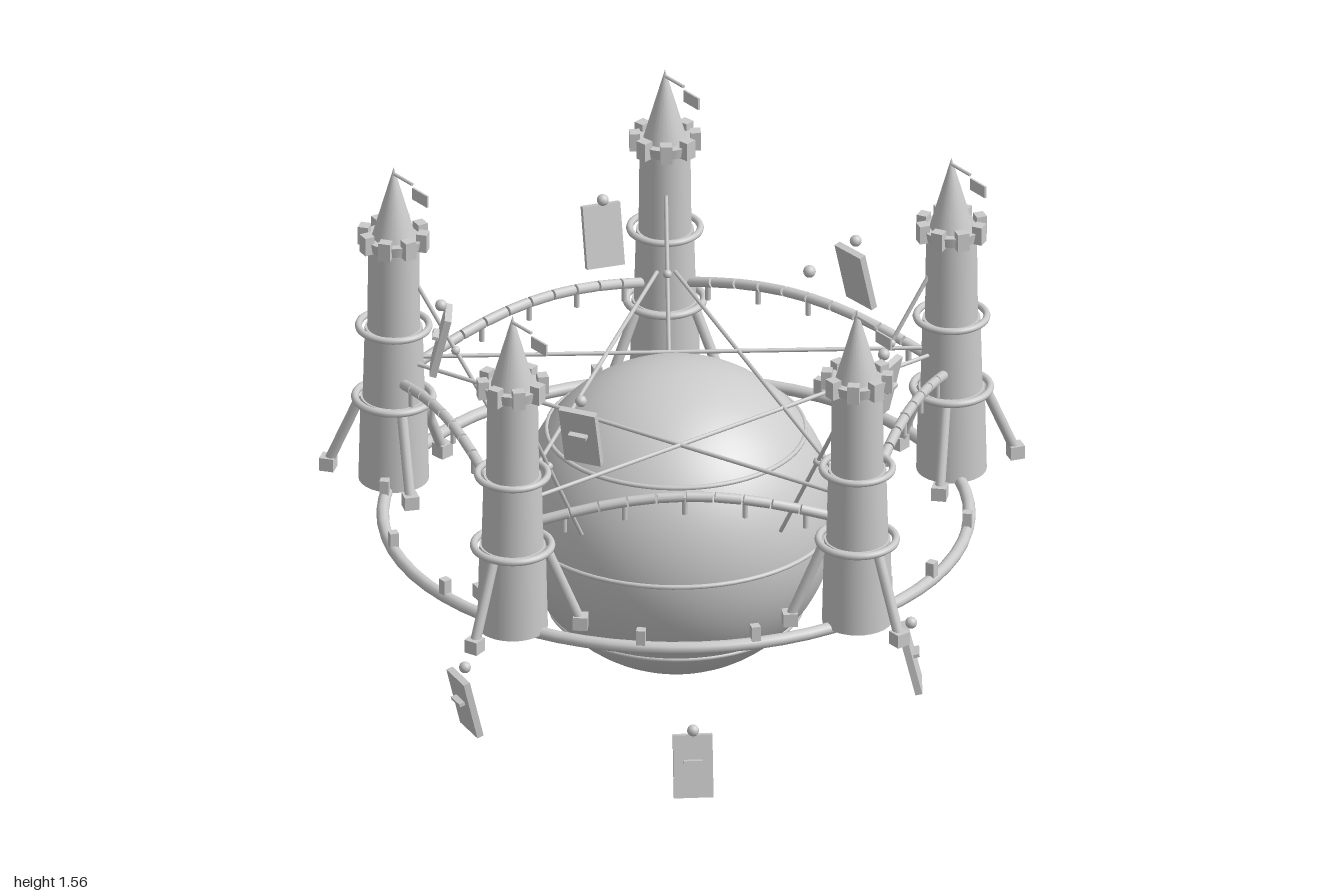
import * as THREE from 'three';

const mat = new THREE.MeshStandardMaterial({ color: 0xcccccc });
const CX = -0.1, R = 0.83, MID = 0.58;
const V = (x, y, z) => new THREE.Vector3(x, y, z);
const polar = (r, a, y) => V(CX + r * Math.cos(a), y, r * Math.sin(a));

function add(parent, name, geo, x = 0, y = 0, z = 0) {
  const m = new THREE.Mesh(geo, mat);
  m.name = name;
  m.position.set(x, y, z);
  parent.add(m);
  return m;
}

// Straight round bar between two points
function rod(parent, name, a, b, r0, r1 = r0, sides = 10) {
  const d = b.clone().sub(a);
  const m = add(parent, name, new THREE.CylinderGeometry(r1, r0, d.length(), sides));
  m.position.copy(a).add(b).multiplyScalar(0.5);
  m.quaternion.setFromUnitVectors(V(0, 1, 0), d.normalize());
  return m;
}

// Horizontal ring
function hoop(parent, name, r, tube, x, y, z) {
  const m = add(parent, name, new THREE.TorusGeometry(r, tube, 10, 64), x, y, z);
  m.rotation.x = Math.PI / 2;
}

function makeTower(angle) {
  const t = new THREE.Group();
  t.name = 'tower';
  t.position.copy(polar(R, angle, 0));

  // Three stepped drums and the collars between them
  const drums = [[0.58, 0.84, 0.1, 0.094], [0.84, 1.06, 0.088, 0.082], [1.06, 1.32, 0.075, 0.072]];
  for (const [y0, y1, r0, r1] of drums)
    add(t, 'towerDrum', new THREE.CylinderGeometry(r1, r0, y1 - y0, 28), 0, (y0 + y1) / 2, 0);
  hoop(t, 'lowerCollar', 0.11, 0.011, 0, 0.837, 0);
  hoop(t, 'upperCollar', 0.1, 0.01, 0, 1.063, 0);

  // Crown with battlements, and the roof
  add(t, 'crown', new THREE.CylinderGeometry(0.085, 0.08, 0.03, 28), 0, 1.333, 0);
  for (let i = 0; i < 8; i++) {
    const a = angle + i * Math.PI / 4;
    const b = add(t, 'battlement', new THREE.BoxGeometry(0.03, 0.055, 0.034),
      0.086 * Math.cos(a), 1.342, 0.086 * Math.sin(a));
    b.rotation.y = -a;
  }
  add(t, 'roof', new THREE.ConeGeometry(0.064, 0.225, 24), 0, 1.453, 0);

  // Flag
  rod(t, 'flagPole', V(0, 1.545, 0), V(0.085, 1.545, 0), 0.005);
  add(t, 'flag', new THREE.BoxGeometry(0.068, 0.036, 0.006), 0.122, 1.518, 0);

  // Splayed legs with block feet
  for (let i = 0; i < 3; i++) {
    const a = angle + i * Math.PI * 2 / 3, c = Math.cos(a), s = Math.sin(a);
    rod(t, 'leg', V(0.095 * c, 0.83, 0.095 * s), V(0.193 * c, 0.6, 0.193 * s), 0.015, 0.015);
    const f = add(t, 'foot', new THREE.BoxGeometry(0.042, 0.04, 0.042), 0.193 * c, 0.6, 0.193 * s);
    f.rotation.y = -a;
  }
  return t;
}

// Segmented arched bridge with short hanging posts
function makeBridge(a0, a1) {
  const g = new THREE.Group();
  g.name = 'bridge';
  const p0 = polar(R, a0, 0), p1 = polar(R, a1, 0);
  const at = t => {
    const p = p0.clone().lerp(p1, t);
    p.y = 0.89 + 0.09 * Math.sin(Math.PI * t);
    return p;
  };
  const n = 12;
  for (let i = 1; i < n - 1; i++)
    rod(g, 'bridgeSegment', at((i + 0.04) / n), at((i + 0.96) / n), 0.015);
  for (const t of [0.15, 0.325, 0.5, 0.675, 0.85]) {
    const p = at(t);
    rod(g, 'bridgePost', p, p.clone().setY(p.y - 0.055), 0.008);
  }
  return g;
}

// Floating tablet facing outward, with a ledge and a bead above
function makeTablet(deg, y, pitch) {
  const g = new THREE.Group();
  g.name = 'tablet';
  const a = deg * Math.PI / 180;
  g.position.copy(polar(0.665, a, y));
  g.rotation.y = Math.PI / 2 - a;
  const board = new THREE.Group();
  board.name = 'tabletBoard';
  board.rotation.x = pitch;
  add(board, 'slab', new THREE.BoxGeometry(0.112, 0.183, 0.02));
  add(board, 'ledge', new THREE.BoxGeometry(0.055, 0.01, 0.025), 0, 0.015, 0.015);
  g.add(board);
  add(g, 'bead', new THREE.SphereGeometry(0.017, 14, 10), 0, 0.112, 0);
  return g;
}

export function createModel() {
  const model = new THREE.Group();
  model.name = 'orbitalCastle';

  // Central globe with bands
  add(model, 'globe', new THREE.SphereGeometry(0.455, 64, 40), CX, MID, 0);
  for (const dy of [-0.28, 0, 0.27])
    hoop(model, 'globeBand', Math.sqrt(0.455 ** 2 - dy * dy), 0.007, CX, MID + dy, 0);

  // Walkway ring with blocks
  hoop(model, 'walkwayRing', R, 0.018, CX, MID, 0);
  for (let i = 0; i < 16; i++) {
    const a = i * Math.PI / 8;
    const b = add(model, 'ringBlock', new THREE.BoxGeometry(0.026, 0.05, 0.026));
    b.position.copy(polar(R, a, 0.612));
    b.rotation.y = -a;
  }

  // Towers, bridges, star cables and inward stays
  const step = Math.PI * 2 / 5;
  for (let i = 0; i < 5; i++) {
    const a = i * step;
    model.add(makeTower(a), makeBridge(a, a + step));
    rod(model, 'starCable', polar(R, a, 0.962), polar(R, a + 2 * step, 0.962), 0.006);
    const top = polar(0.76, a, 1.2), low = polar(0.48, a, 0.72);
    rod(model, 'stay', top, low, 0.006);
    add(model, 'stayBead', new THREE.SphereGeometry(0.013, 12, 8)).position.copy(top.lerp(low, 0.4));
  }

  // Floating tablets: angle, height, lean
  const tablets = [
    [34, 0.12, -1], [62, 1.14, 1], [102, 0.13, 1], [130, 1.12, -1], [171.5, 0.095, -1],
    [200, 1.14, 1], [240, 0.14, 1], [268, 1.115, -1], [308, 0.12, -1], [336, 1.135, 1],
  ];
  for (const [deg, y, lean] of tablets) model.add(makeTablet(deg, y, lean * 0.24));

  // Lone floating bead
  add(model, 'looseBead', new THREE.SphereGeometry(0.018, 14, 10), -0.31, 1.06, -0.645);

  return model;
}
